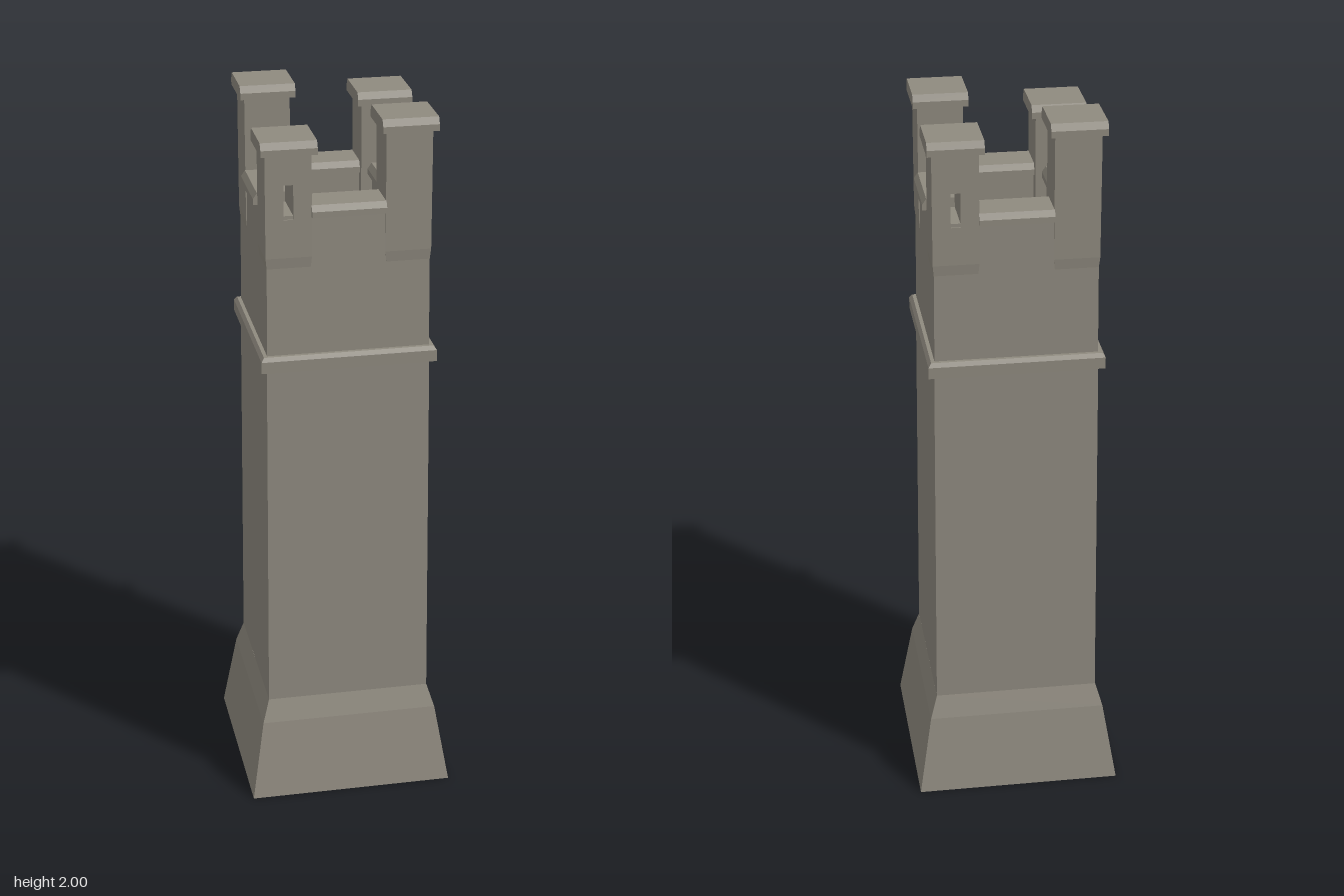
import * as THREE from 'three';

const stone = new THREE.MeshStandardMaterial({ color: 0x8f8a7f, flatShading: true });

function add(parent, name, geometry, x = 0, y = 0, z = 0) {
  const mesh = new THREE.Mesh(geometry, stone);
  mesh.name = name;
  mesh.position.set(x, y, z);
  parent.add(mesh);
  return mesh;
}

// Square solid from [halfWidth, y] pairs: a four-sided lathe turned to face the axes
function squareLathe(profile) {
  const points = profile.map(([r, y]) => new THREE.Vector2(r * Math.SQRT2, y));
  return new THREE.LatheGeometry(points, 4, Math.PI / 4).toNonIndexed();
}

// Coping slab lying along x, its two long upper edges bevelled
function copingGeometry(length, depth, height) {
  const d = depth / 2, b = 0.011, s = height * 0.5;
  const shape = new THREE.Shape([
    [-d, 0], [d, 0], [d, s], [d - b, height], [-d + b, height], [-d, s],
  ].map(([x, y]) => new THREE.Vector2(x, y)));
  return new THREE.ExtrudeGeometry(shape, { depth: length, bevelEnabled: false })
    .translate(0, 0, -length / 2)
    .rotateY(Math.PI / 2);
}

// Corner turret: tapered foot, shaft with an optional through slit, and a cap
function makeTurret(top, hasSlit) {
  const turret = new THREE.Group();
  const h = 0.062, foot = 1.62, capHeight = 0.036, shaftTop = top - capHeight;
  const shape = new THREE.Shape([
    [-h, foot], [h, foot], [h, shaftTop], [-h, shaftTop],
  ].map(([x, y]) => new THREE.Vector2(x, y)));
  if (hasSlit) {
    shape.holes.push(new THREE.Path([
      [-0.013, 1.725], [-0.013, 1.82], [0.013, 1.82], [0.013, 1.725],
    ].map(([x, y]) => new THREE.Vector2(x, y))));
  }
  const shaft = new THREE.ExtrudeGeometry(shape, { depth: 2 * h, bevelEnabled: false });
  add(turret, 'turretShaft', shaft.translate(0, 0, -h));
  add(turret, 'turretFoot', squareLathe([[0, 1.55], [0.055, 1.55], [h, foot]]));
  add(turret, 'turretCap', copingGeometry(0.15, 0.16, capHeight), 0, shaftTop, 0);
  return turret;
}

export function createModel() {
  const tower = new THREE.Group();
  tower.name = 'tower';

  // Splayed plinth, closed underneath
  add(tower, 'plinth', squareLathe([[0, 0], [0.287, 0], [0.25, 0.225], [0.23, 0.29], [0, 0.29]]));

  // Slightly tapering shaft
  add(tower, 'shaft', squareLathe([[0.23, 0.28], [0.223, 1.31]]));

  // String course with a bevelled top
  add(tower, 'stringCourse', squareLathe([
    [0.2, 1.302], [0.24, 1.302], [0.24, 1.334], [0.232, 1.345], [0.2, 1.345],
  ]));

  // Upper stage with a sunken roof behind the parapet
  add(tower, 'upperStage', squareLathe([
    [0.222, 1.33], [0.219, 1.735], [0.13, 1.735], [0.13, 1.66], [0, 1.66],
  ]));

  // Parapet copings between the turrets, one per side
  for (let i = 0; i < 4; i++) {
    const coping = new THREE.Group();
    coping.name = 'parapetCoping';
    coping.rotation.y = i * Math.PI / 2;
    add(coping, 'copingSlab', copingGeometry(0.2, 0.118, 0.032), 0, 1.73, 0.176);
    tower.add(coping);
  }

  // Four turrets of differing heights; two opposite ones are pierced
  const turrets = [
    [-1, -1, 2.0, false], [1, -1, 1.965, true],
    [1, 1, 1.985, false], [-1, 1, 1.94, true],
  ];
  for (const [sx, sz, top, slit] of turrets) {
    const turret = makeTurret(top, slit);
    turret.name = 'turret';
    turret.position.set(sx * 0.161, 0, sz * 0.161);
    tower.add(turret);
  }
  return tower;
}
